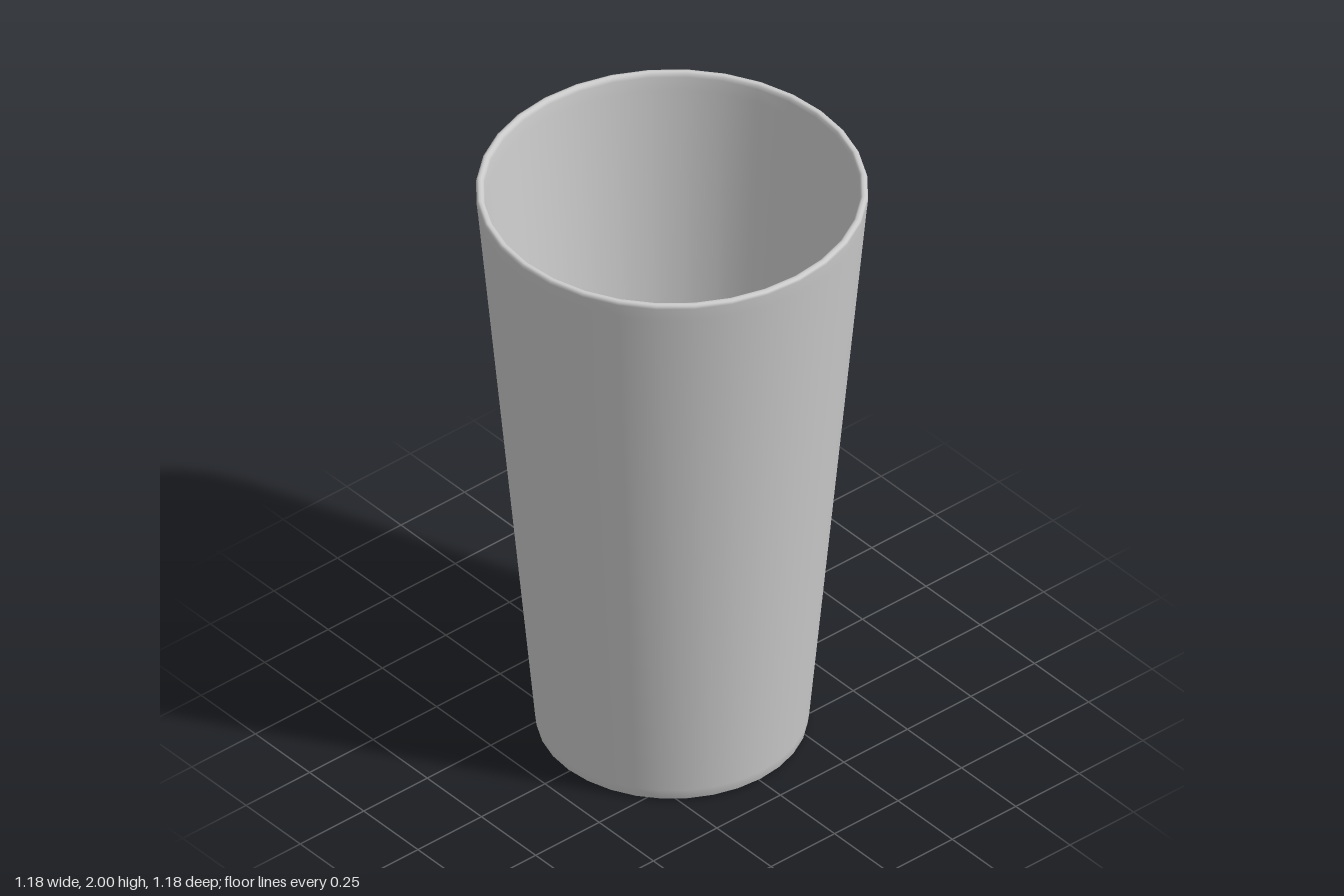
import * as THREE from 'three';

export function createModel() {
  const group = new THREE.Group();
  group.name = 'tumbler';

  // Closed cross-section: underside, outer wall, rounded rim, inner wall, floor
  const profile = [
    [0, 0], [0.385, 0], [0.4, 0.001], [0.408, 0.008], [0.412, 0.04],
    [0.584, 1.94], [0.589, 1.988], [0.587, 1.997], [0.581, 2],
    [0.573, 2], [0.567, 1.996], [0.564, 1.985], [0.559, 1.94],
    [0.389, 0.06], [0.38, 0.038], [0.34, 0.03], [0, 0.03],
  ].map(([r, y]) => new THREE.Vector2(r, y));

  const cup = new THREE.Mesh(
    new THREE.LatheGeometry(profile, 32),
    new THREE.MeshStandardMaterial({ color: 0xcccccc })
  );
  cup.name = 'cup';
  group.add(cup);
  return group;
}
